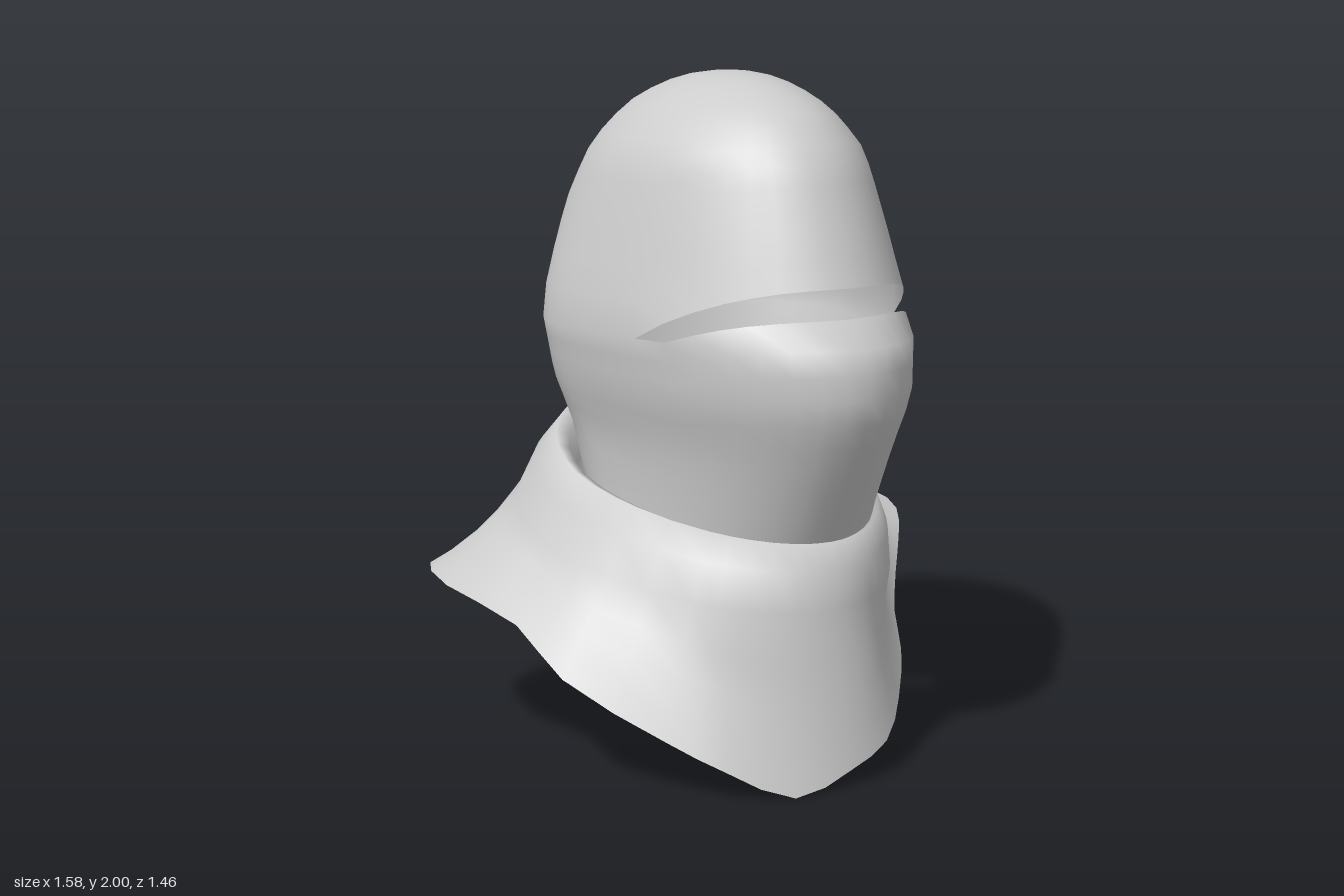
import * as THREE from 'three';
import { mergeVertices } from 'three/addons/utils/BufferGeometryUtils.js';

const COLS = 48;
const lerp = THREE.MathUtils.lerp;

// Egg-shaped ring point: angle 0 is the front, growing towards +x.
function eggPoint(phi, y, { cx, zc, w, zf, zb }) {
  const c = Math.cos(phi);
  const z = c > 0 ? zc + (zf - zc) * Math.pow(c, 1.3) : zc + (zc - zb) * c;
  return new THREE.Vector3(cx + w * Math.sin(phi), y, z);
}

// Skin a stack of closed rings, ordered from top to bottom.
function skin(rings, positions, indices) {
  const base = positions.length / 3, n = rings[0].length;
  rings.forEach(ring => ring.forEach(p => positions.push(p.x, p.y, p.z)));
  for (let i = 0; i < rings.length - 1; i++) {
    for (let j = 0; j < n; j++) {
      const k = (j + 1) % n;
      const a = base + i * n + j, d = base + i * n + k;
      const b = a + n, c = d + n;
      if (rings[i][j].distanceTo(rings[i][k]) > 1e-5) indices.push(a, c, d);
      indices.push(a, b, c);
    }
  }
}

function makeMesh(name, stacks, material) {
  const positions = [], indices = [];
  stacks.forEach(s => skin(s, positions, indices));
  let g = new THREE.BufferGeometry();
  g.setAttribute('position', new THREE.Float32BufferAttribute(positions, 3));
  g.setIndex(indices);
  g = mergeVertices(g, 1e-5);
  g.computeVertexNormals();
  const mesh = new THREE.Mesh(g, material);
  mesh.name = name;
  return mesh;
}

// Profiles: height, half width, front z, back z, centre z
const CROWN = [
  [2.0, 0, 0, 0, 0],
  [1.98, 0.13, 0.17, -0.19, -0.01],
  [1.9, 0.27, 0.37, -0.38, -0.03],
  [1.78, 0.38, 0.49, -0.48, -0.06],
  [1.62, 0.435, 0.56, -0.56, -0.1],
  [1.43, 0.49, 0.635, -0.56, -0.14],
  [1.32, 0.52, 0.685, -0.545, -0.15],
  [1.27, 0.52, 0.71, -0.54, -0.15],
];
const MASK = [
  [1.35, 0.52, 0.61, -0.545, -0.15],
  [1.27, 0.52, 0.71, -0.54, -0.15],
  [1.1, 0.49, 0.73, -0.51, -0.15],
  [0.95, 0.44, 0.66, -0.48, -0.12],
  [0.8, 0.42, 0.58, -0.46, -0.08],
  [0.6, 0.41, 0.48, -0.45, -0.05],
];

function profileAt(table, y) {
  let i = 0;
  while (i < table.length - 2 && y < table[i + 1][0]) i++;
  const a = table[i], b = table[i + 1];
  const s = h => Math.sqrt(Math.max(0, 2 - h));
  const t = THREE.MathUtils.clamp((s(y) - s(a[0])) / (s(b[0]) - s(a[0])), 0, 1);
  const [w, zf, zb, zc] = [1, 2, 3, 4].map(k => lerp(a[k], b[k], t));
  return { cx: 0.07, w, zf, zb, zc };
}

function buildHood(material) {
  const angles = Array.from({ length: COLS }, (_, j) => {
    const a = (j / COLS) * Math.PI * 2;
    return a > Math.PI ? a - Math.PI * 2 : a;
  });
  // Eye slit: the crown's brow edge and the mask's top edge meet at the temples.
  const slit = phi => Math.min(1, Math.abs(phi) / (Math.PI / 3));
  const brow = phi => 1.27 + 0.165 * (1 - Math.pow(slit(phi), 2.8));
  const maskTop = phi => 1.27 + 0.075 * (1 - Math.pow(Math.min(1, slit(phi) * 1.15), 3));
  const hem = phi => 0.62 + 0.14 * (1 - Math.cos(phi));
  const crown = [], mask = [];
  for (let i = 0; i <= 14; i++) {
    crown.push(angles.map(phi => {
      const y = 2 - (2 - brow(phi)) * (i / 14) ** 2;
      return eggPoint(phi, y, profileAt(CROWN, y));
    }));
  }
  for (let i = 0; i <= 10; i++) {
    mask.push(angles.map(phi => {
      const y = lerp(maskTop(phi), hem(phi), i / 10);
      return eggPoint(phi, y, profileAt(MASK, y));
    }));
  }
  return makeMesh('hood', [crown, mask], material);
}

// Uneven lower edge of the scarf, from the front tip round by +x
const SCARF_HEM = [
  [-0.14, 0, 0.68], [0.05, 0.05, 0.68], [0.2, 0.1, 0.64], [0.32, 0.18, 0.53], [0.42, 0.28, 0.4],
  [0.48, 0.36, 0.28], [0.56, 0.45, 0.17], [0.67, 0.52, 0.03], [0.76, 0.57, -0.11],
  [0.79, 0.59, -0.28], [0.75, 0.58, -0.4], [0.66, 0.56, -0.5], [0.46, 0.5, -0.66],
  [0.25, 0.44, -0.71], [0, 0.4, -0.73], [-0.24, 0.4, -0.73], [-0.41, 0.43, -0.69],
  [-0.56, 0.46, -0.62], [-0.7, 0.5, -0.51], [-0.79, 0.51, -0.21], [-0.7, 0.44, 0.06],
  [-0.67, 0.33, 0.28], [-0.46, 0.17, 0.51], [-0.33, 0.09, 0.61],
];

function buildScarf(material) {
  const curve = new THREE.CatmullRomCurve3(SCARF_HEM.map(p => new THREE.Vector3(...p)), true);
  const n = SCARF_HEM.length * 2;
  const hem = Array.from({ length: n }, (_, i) => curve.getPoint(i / n));
  const angles = hem.map(p => Math.atan2(p.x - 0.03, p.z + 0.12));
  // Collar rings: tucked lining, rolled rim, neck folds
  const collar = [
    { cx: 0.06, w: 0.42, zf: 0.47, zb: -0.46, yf: 0.58, yb: 0.87 },
    { cx: 0.06, w: 0.44, zf: 0.515, zb: -0.49, yf: 0.68, yb: 0.97 },
    { cx: 0.06, w: 0.475, zf: 0.54, zb: -0.55, yf: 0.69, yb: 0.99 },
    { cx: 0.04, w: 0.52, zf: 0.595, zb: -0.62, yf: 0.62, yb: 0.9 },
    { cx: 0.02, w: 0.555, zf: 0.61, zb: -0.68, yf: 0.51, yb: 0.77 },
  ];
  const rings = collar.map(r => angles.map(phi => {
    const y = lerp(r.yf, r.yb, (1 - Math.cos(phi)) / 2);
    return eggPoint(phi, y, { ...r, zc: -0.12 });
  }));
  // Flared drape with soft folds down to the hem
  const neck = rings[rings.length - 1];
  for (const t of [0.3, 0.55, 0.8]) {
    rings.push(hem.map((p, j) => {
      const q = neck[j].clone().lerp(p, t);
      const fold = 1 + 0.025 * Math.sin(t * Math.PI) * (Math.sin(angles[j] * 5 + 1) - 1);
      return q.set(q.x * fold, q.y, q.z * fold);
    }));
  }
  rings.push(hem);
  return makeMesh('scarf', [rings], material);
}

export function createModel() {
  const group = new THREE.Group();
  group.name = 'hoodAndScarf';
  const material = new THREE.MeshStandardMaterial({ color: 0xcccccc, side: THREE.DoubleSide });
  group.add(buildHood(material), buildScarf(material));
  return group;
}
